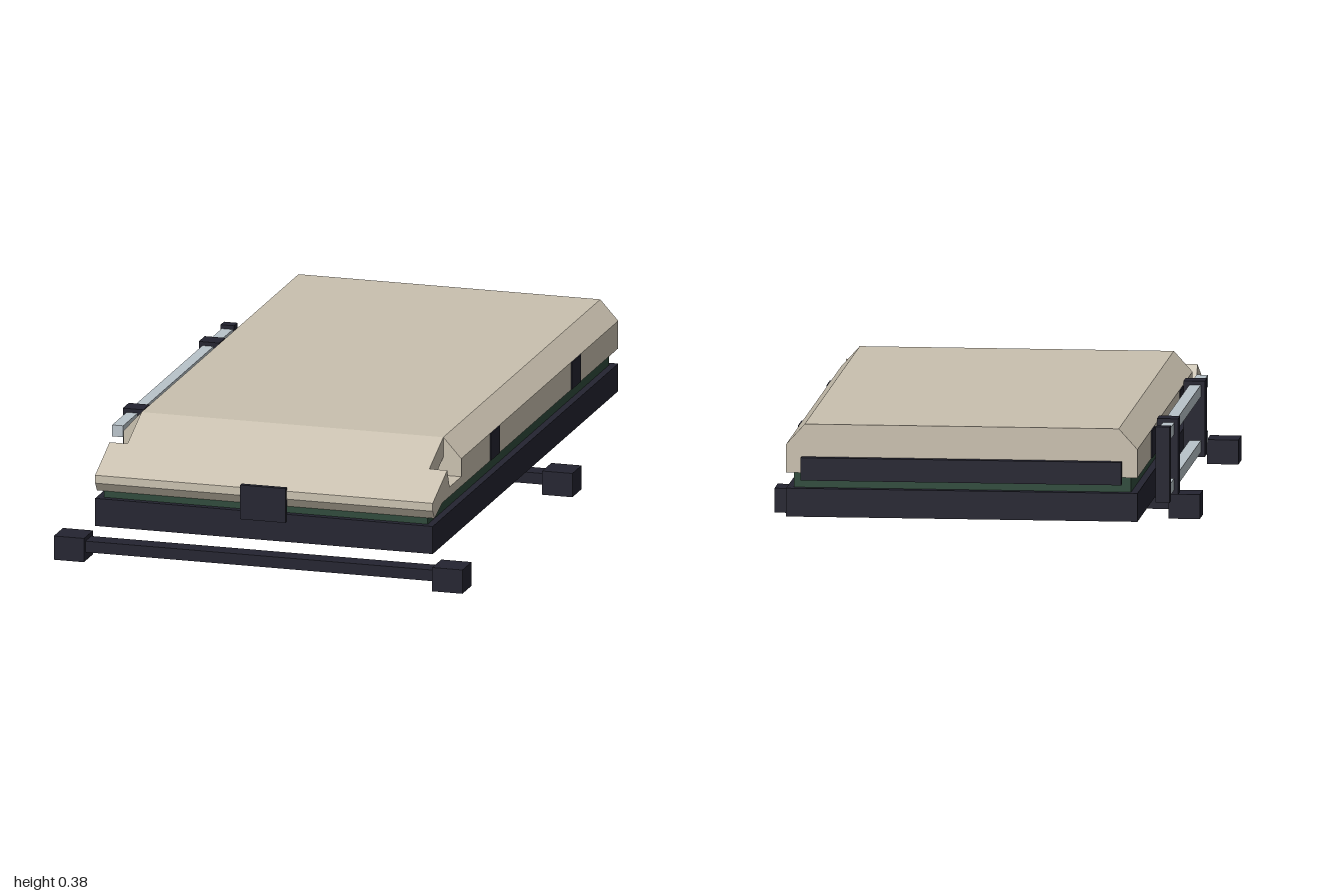
import * as THREE from 'three';

export function createModel() {
  const model = new THREE.Group();
  const mat = (name, color) => {
    const m = new THREE.MeshStandardMaterial({ color });
    m.name = name;
    return m;
  };
  const beige = mat('beige shell', 0xc9c0af);
  const dark = mat('dark frame', 0x242430);
  const green = mat('green seal', 0x2f4a3b);
  const alloy = mat('light alloy', 0xb9c3ca);

  const add = (name, geometry, material) => {
    const mesh = new THREE.Mesh(geometry, material);
    mesh.name = name;
    model.add(mesh);
    return mesh;
  };
  // Box given by its limits on each axis
  const box = (name, material, [x0, x1], [y0, y1], [z0, z1]) =>
    add(name, new THREE.BoxGeometry(x1 - x0, y1 - y0, z1 - z0), material)
      .position.set((x0 + x1) / 2, (y0 + y1) / 2, (z0 + z1) / 2);
  const extrude = (points, depth) => new THREE.ExtrudeGeometry(
    new THREE.Shape(points.map(([a, b]) => new THREE.Vector2(a, b))),
    { depth, bevelEnabled: false });
  // Side profile of [z, y] points, extruded across the width
  const profile = (name, points, halfWidth) => add(name,
    extrude(points, 2 * halfWidth).translate(0, 0, -halfWidth).rotateY(-Math.PI / 2), beige);

  // Tray and seal
  box('baseTray', dark, [-0.537, 0.537], [0.1, 0.187], [-0.975, 0.94]);
  box('seal', green, [-0.515, 0.515], [0.187, 0.237], [-0.95, 0.92]);

  // Lid with chamfered long edges
  add('lidBody', extrude([
    [-0.537, 0.235], [0.537, 0.235], [0.537, 0.322],
    [0.48, 0.385], [-0.48, 0.385], [-0.537, 0.322],
  ], 1.62).translate(0, 0, -0.975), beige);

  // Sloping nose, with an open slot at each side
  profile('noseSlope', [[0.645, 0.385], [0.79, 0.324], [0.767, 0.27], [0.645, 0.322]], 0.48);
  profile('noseLip', [
    [0.645, 0.235], [0.645, 0.265], [0.765, 0.265], [0.79, 0.324],
    [0.94, 0.26], [0.94, 0.235], [0.92, 0.207], [0.84, 0.235],
  ], 0.537);

  // Latches and rear grip
  box('frontLatch', dark, [-0.072, 0.072], [0.163, 0.271], [0.935, 0.952]);
  box('rearGrip', dark, [-0.49, 0.49], [0.215, 0.285], [-1, -0.975]);
  for (const side of [-1, 1]) {
    for (const z of [0.303, -0.532]) {
      const x = side * 0.537;
      box('sideLatch', dark, [x - 0.004, x + 0.004], [0.237, 0.322], [z - 0.047, z + 0.047]);
    }
  }

  // Cross bars with end feet
  for (const z of [0.953, -0.182]) {
    box('crossBar', dark, [-0.6, 0.6], [0.027, 0.062], [z - 0.03, z + 0.03]);
    for (const side of [-1, 1]) {
      const x = side * 0.602;
      box('foot', dark, [x - 0.048, x + 0.048], [0, 0.075], [z - 0.047, z + 0.047]);
    }
  }
  for (const x of [-0.403, 0.403])
    box('barMount', dark, [x - 0.061, x + 0.061], [0.06, 0.102], [-0.235, -0.115]);

  // Stowed ladder on the right side
  for (const y of [0.132, 0.303])
    box('ladderRail', alloy, [-0.59, -0.555], [y - 0.018, y + 0.018], [-0.56, 0.592]);
  for (const z of [0.412, -0.372])
    box('ladderBracket', dark, [-0.602, -0.537], [0.1, 0.333], [z - 0.031, z + 0.031]);
  box('ladderEnd', dark, [-0.594, -0.551], [0.1, 0.333], [-0.575, -0.54]);

  return model;
}
